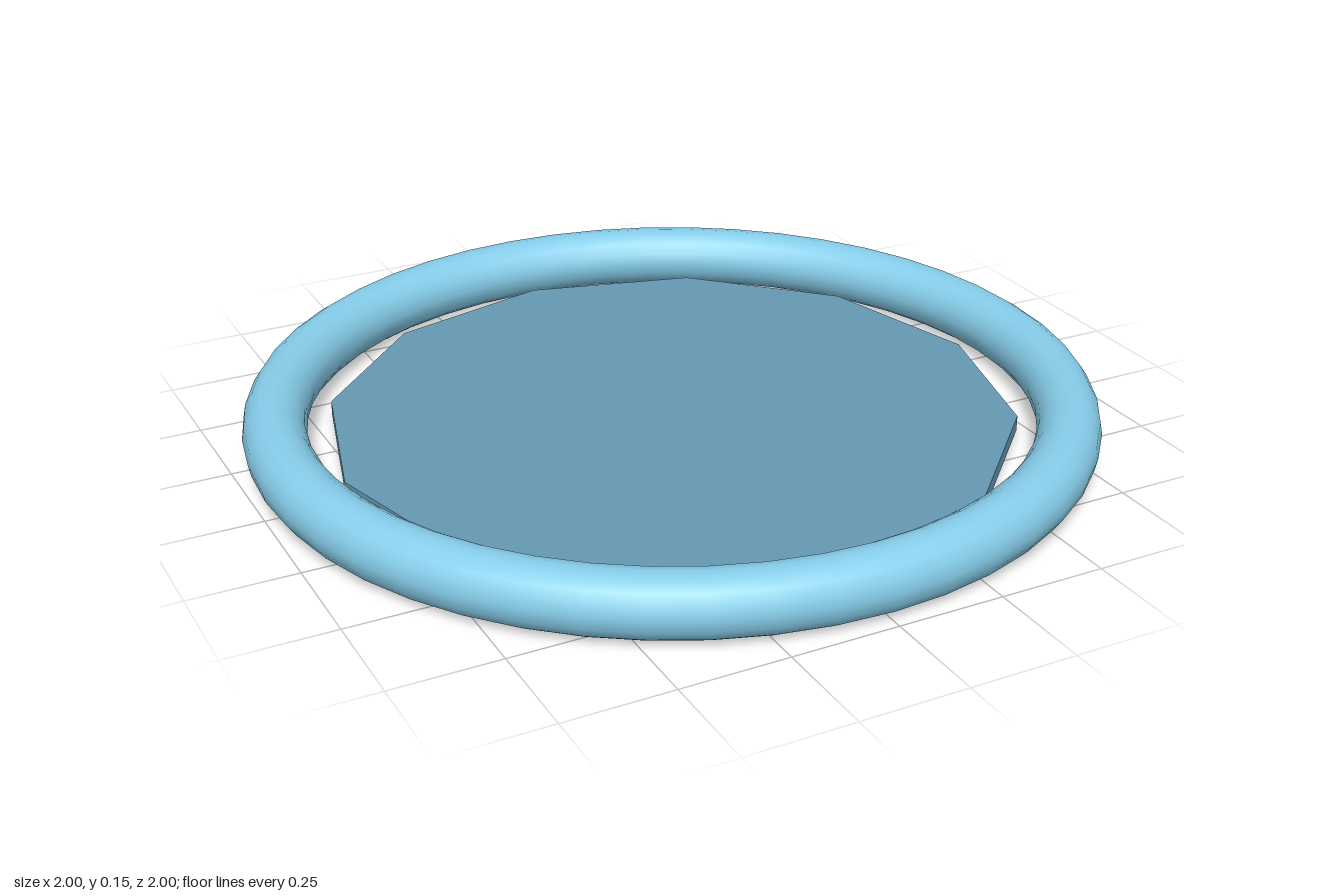
import * as THREE from 'three';

const RING_RADIUS = 0.926;
const TUBE_RADIUS = 0.074;

export function createModel() {
  const model = new THREE.Group();
  model.name = 'ringWithDisc';

  // Smooth outer ring lying flat on the ground
  const ring = new THREE.Mesh(
    new THREE.TorusGeometry(RING_RADIUS, TUBE_RADIUS, 16, 48),
    new THREE.MeshStandardMaterial({ color: 0x87ceeb })
  );
  ring.name = 'outerRing';
  ring.rotation.x = -Math.PI / 2;
  ring.position.y = TUBE_RADIUS;
  model.add(ring);

  // Thin twelve-sided disc, set low inside the ring with a small gap
  const disc = new THREE.Mesh(
    new THREE.CylinderGeometry(0.813, 0.813, 0.037, 12),
    new THREE.MeshStandardMaterial({ color: 0x6699b3, flatShading: true })
  );
  disc.name = 'innerDisc';
  disc.position.y = 0.033;
  model.add(disc);

  return model;
}
